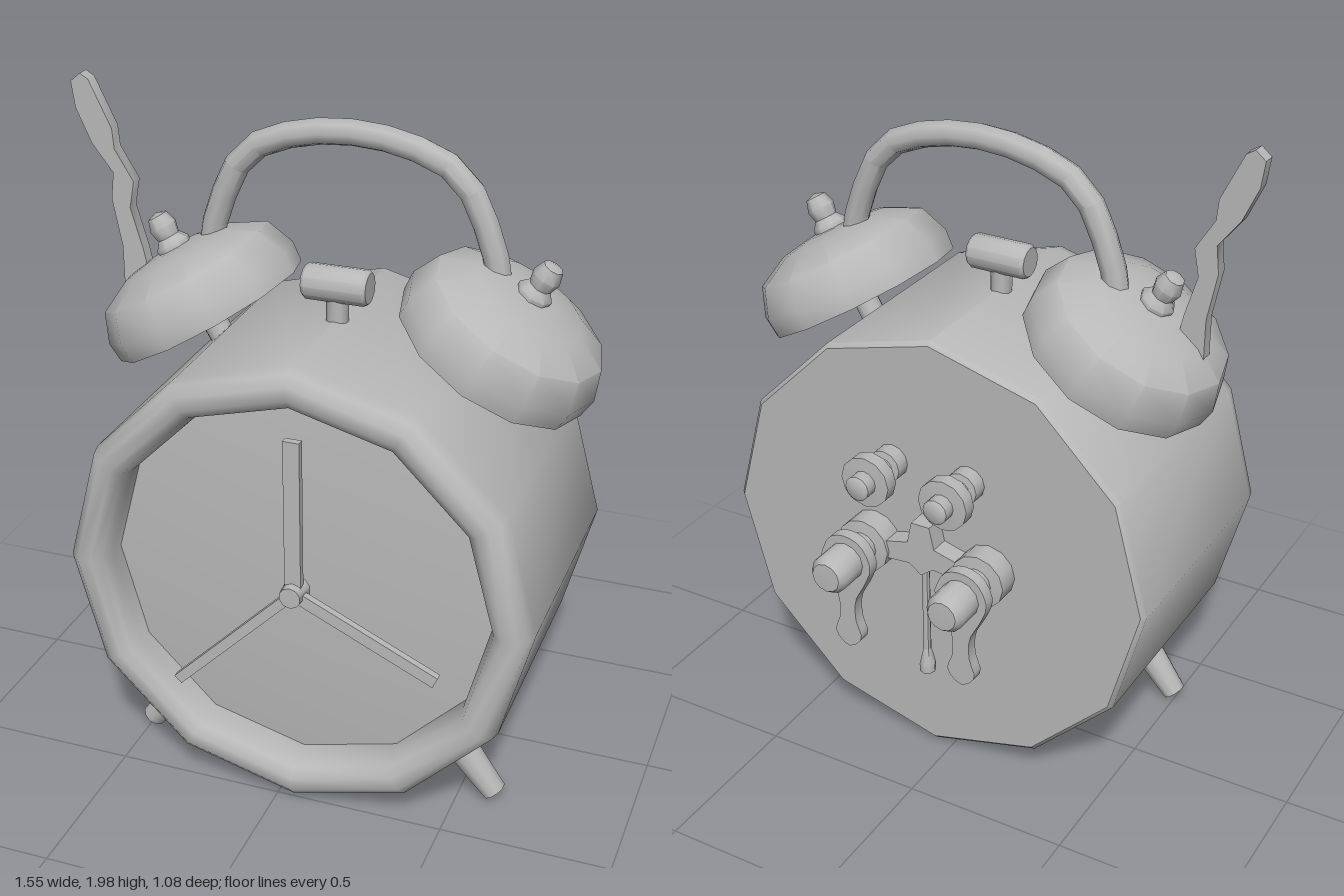
import * as THREE from 'three';
import { toCreasedNormals } from 'three/addons/utils/BufferGeometryUtils.js';

const CX = 0.055, CY = 0.712; // axis of the round case

export function createModel() {
  const metal = new THREE.MeshStandardMaterial({ color: 0xb8b8b8 });
  const model = new THREE.Group();
  model.name = 'alarmClock';

  const add = (name, geometry, parent = model) => {
    const mesh = new THREE.Mesh(toCreasedNormals(geometry, 0.8), metal);
    mesh.name = name;
    parent.add(mesh);
    return mesh;
  };
  const lathe = (pts, sides = 12) =>
    new THREE.LatheGeometry(pts.map(([r, h]) => new THREE.Vector2(r, h)), sides);
  // Tapered round bar between two points
  const bar = (name, a, b, ra, rb = ra, sides = 10) => {
    const from = new THREE.Vector3(...a), to = new THREE.Vector3(...b);
    const dir = to.clone().sub(from);
    const mesh = add(name, new THREE.CylinderGeometry(rb, ra, dir.length(), sides));
    mesh.position.copy(from).add(to).multiplyScalar(0.5);
    mesh.quaternion.setFromUnitVectors(new THREE.Vector3(0, 1, 0), dir.normalize());
    return mesh;
  };
  const plate = (name, pts, depth, z, curved = false) => {
    const v = pts.map(([x, y]) => new THREE.Vector2(x, y));
    const shape = new THREE.Shape(curved ? new THREE.SplineCurve([...v, v[0]]).getPoints(36).slice(0, -1) : v);
    const mesh = add(name, new THREE.ExtrudeGeometry(shape, { depth, bevelEnabled: false }));
    mesh.position.z = z;
    return mesh;
  };
  // Turned part on the back, with height running towards -z
  const backTurned = (name, x, y, pts) => {
    const mesh = add(name, lathe(pts, 12));
    mesh.rotation.x = -Math.PI / 2;
    mesh.position.set(x, y, -0.27);
    return mesh;
  };

  // Twelve-sided case with rolled front rim and shallow domed dial
  const body = add('caseAndDial', lathe([
    [0, -0.275], [0.675, -0.275], [0.688, -0.262], [0.688, 0.47], [0.678, 0.51], [0.65, 0.535],
    [0.61, 0.535], [0.582, 0.515], [0.568, 0.47], [0.568, 0.42], [0, 0.465],
  ]));
  body.rotation.x = Math.PI / 2;
  body.position.set(CX, CY, 0);

  // Hands and hub
  const hand = (name, x, y, width, z) => {
    const dx = x - CX, dy = y - CY, len = Math.hypot(dx, dy);
    const geometry = new THREE.BoxGeometry(width, len, 0.022).translate(0, len / 2, 0);
    const mesh = add(name, geometry);
    mesh.position.set(CX, CY, z);
    mesh.rotation.z = Math.atan2(-dx, dy);
  };
  hand('minuteHand', CX, 1.185, 0.048, 0.49);
  hand('hourHand', 0.475, 0.517, 0.036, 0.495);
  hand('alarmHand', -0.305, 0.35, 0.03, 0.5);
  bar('handHub', [CX, CY, 0.44], [CX, CY, 0.525], 0.04, 0.032);

  // Mirrored feet, bells, posts and bell knobs
  for (const side of [1, -1]) {
    const label = side > 0 ? 'left' : 'right';
    const at = (dx, y, z) => [CX + side * dx, y, z];
    bar(label + 'Foot', at(0.39, 0.24, 0.3), at(0.55, 0.037, 0.3), 0.055, 0.037);
    bar(label + 'BellPost', at(0.33, 1.15, 0.05), at(0.5, 1.445, 0.05), 0.038);

    const bell = new THREE.Group();
    bell.name = label + 'Bell';
    bell.position.set(...at(0.423, 1.325, 0.05));
    bell.rotation.z = -side * 0.533;
    model.add(bell);
    add('bellDome', lathe([
      [0, 0.17], [0.15, 0.15], [0.25, 0.09], [0.28, 0.005], [0.3, 0], [0.305, 0.06],
      [0.27, 0.147], [0.17, 0.197], [0.08, 0.212], [0, 0.215],
    ]), bell);
    add('bellKnob', lathe([
      [0.048, 0.19], [0.053, 0.225], [0.034, 0.248], [0.042, 0.28], [0.03, 0.315], [0, 0.325],
    ], 8), bell);
  }

  // Carrying handle arching between the bells
  const arch = [[-0.43, 1.5], [-0.415, 1.59], [-0.375, 1.7], [-0.31, 1.81], [-0.18, 1.873]];
  const path = [...arch, [0, 1.898], ...arch.map(([x, y]) => [-x, y]).reverse()];
  add('carryHandle', new THREE.TubeGeometry(new THREE.CatmullRomCurve3(
    path.map(([x, y]) => new THREE.Vector3(CX + x, y, 0.02))), 14, 0.038, 8));

  // Stop button on top
  bar('buttonStem', [CX, 1.34, 0.137], [CX, 1.47, 0.137], 0.032);
  const button = add('stopButton', lathe([
    [0, -0.095], [0.044, -0.095], [0.052, -0.085], [0.052, 0.085], [0.044, 0.095], [0, 0.095],
  ]));
  button.rotation.z = Math.PI / 2;
  button.position.set(CX, 1.5, 0.137);

  // Flat striker arm beside the right bell
  plate('strikerArm', [
    [-0.54, 1.38], [-0.565, 1.5], [-0.6, 1.62], [-0.585, 1.7], [-0.64, 1.79], [-0.645, 1.85],
    [-0.71, 1.985], [-0.735, 2], [-0.765, 1.975], [-0.755, 1.9], [-0.71, 1.8], [-0.648, 1.72],
    [-0.657, 1.64], [-0.63, 1.5], [-0.63, 1.36],
  ], 0.04, 0.035);

  // Winding keys and setting knobs on the back
  for (const side of [1, -1]) {
    const label = side > 0 ? 'left' : 'right';
    const kx = CX + side * 0.193;
    backTurned(label + 'KeyShaft', kx, 0.715, [
      [0.085, 0], [0.085, 0.075], [0.048, 0.08], [0.048, 0.13], [0.06, 0.14],
      [0.06, 0.25], [0.045, 0.27], [0, 0.272],
    ]);
    const key = plate(label + 'WindingKey', [
      [0.085, 0], [0.055, 0.065], [0, 0.085], [-0.055, 0.065], [-0.085, 0], [-0.06, -0.07],
      [-0.03, -0.13], [-0.028, -0.2], [-0.045, -0.26], [0, -0.3], [0.045, -0.26],
      [0.028, -0.2], [0.03, -0.13], [0.06, -0.07],
    ], 0.037, -0.438, true);
    key.position.x = kx;
    key.position.y = 0.715;

    backTurned(label + 'SettingKnob', CX + side * 0.127, 0.99, [
      [0.052, 0], [0.052, 0.052], [0.032, 0.056], [0.032, 0.105], [0.078, 0.108],
      [0.078, 0.15], [0.038, 0.153], [0.038, 0.19], [0.03, 0.196], [0, 0.196],
    ]);
  }

  // Three-armed bracket and the regulator lever hanging from it
  plate('leverBracket', [
    [CX - 0.03, 0.84], [CX - 0.045, 0.77], [CX - 0.16, 0.74], [CX - 0.16, 0.69], [CX - 0.04, 0.7],
    [CX, 0.67], [CX + 0.04, 0.7], [CX + 0.16, 0.69], [CX + 0.16, 0.74], [CX + 0.045, 0.77],
    [CX + 0.03, 0.84],
  ], 0.06, -0.335);
  bar('regulatorLever', [CX, 0.72, -0.308], [CX, 0.37, -0.308], 0.012, 0.012, 8);
  const tip = add('leverTip', lathe([[0, 0], [0.025, 0], [0.025, 0.025], [0.012, 0.08]], 8));
  tip.position.set(CX, 0.315, -0.308);

  return model;
}
